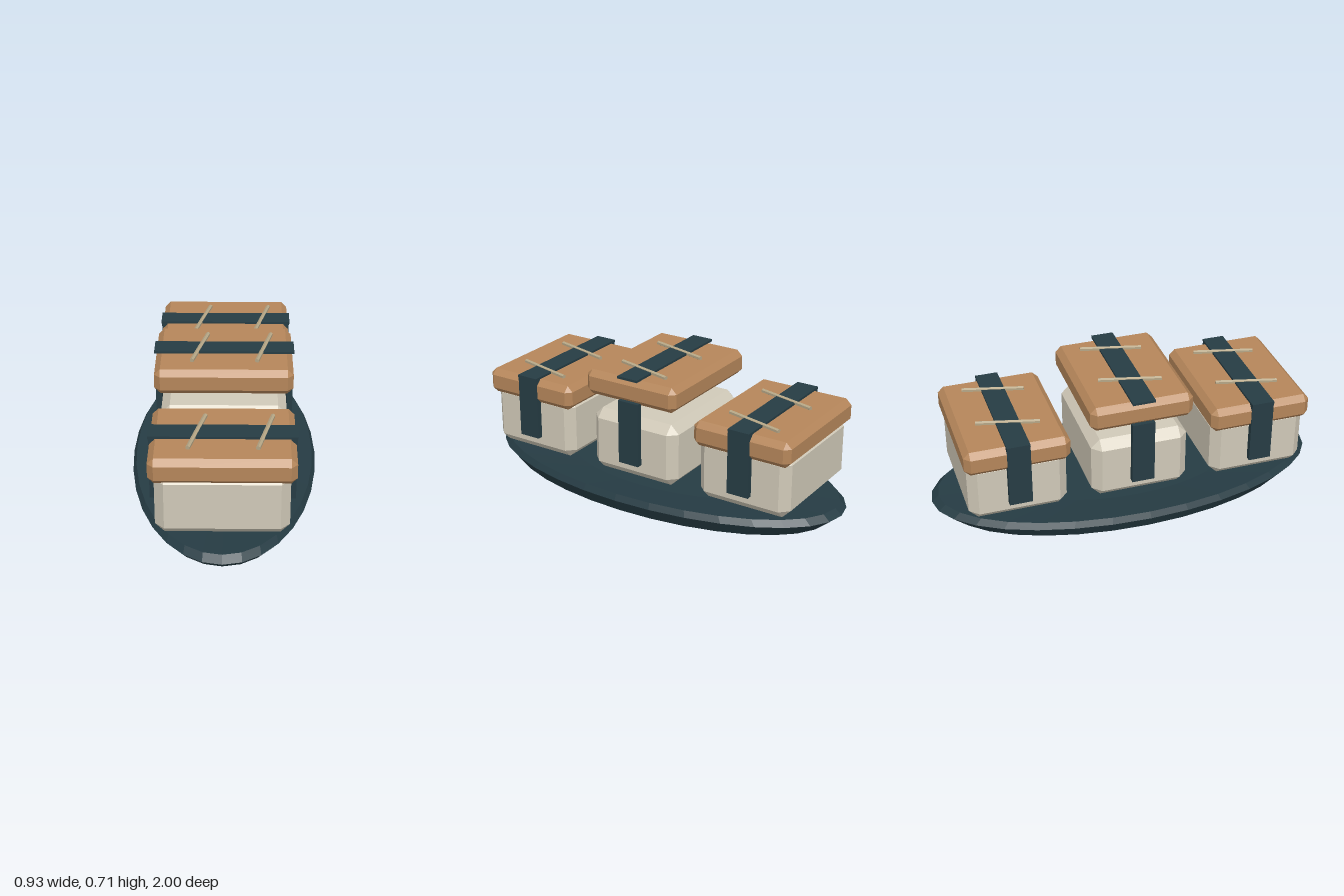
import * as THREE from 'three';
import { ConvexGeometry } from 'three/addons/geometries/ConvexGeometry.js';

const material = (name, color, flatShading = true) => {
  const m = new THREE.MeshStandardMaterial({ color });
  m.name = name;
  m.flatShading = flatShading;
  return m;
};

// Box with every edge and corner cut by c, given half sizes
function chamferBox(hx, hy, hz, c) {
  const points = [];
  for (const x of [-1, 1]) for (const y of [-1, 1]) for (const z of [-1, 1]) {
    points.push(
      new THREE.Vector3(x * hx, y * (hy - c), z * (hz - c)),
      new THREE.Vector3(x * (hx - c), y * hy, z * (hz - c)),
      new THREE.Vector3(x * (hx - c), y * (hy - c), z * hz));
  }
  return new ConvexGeometry(points);
}

export function createModel() {
  const model = new THREE.Group();
  const slate = material('dark slate', 0x263c44);
  const wood = material('warm wood', 0xb5865a);
  const cream = material('cream', 0xd0c9b8);
  const bamboo = material('pale bamboo', 0xb5a686);

  const add = (parent, name, geometry, mat, x, y, z) => {
    const mesh = new THREE.Mesh(geometry, mat);
    mesh.name = name;
    mesh.position.set(x, y, z);
    parent.add(mesh);
    return mesh;
  };

  // Oval tray with a shallow dished top
  const profile = [[0, 0], [0.6, 0], [0.92, 0.031], [1, 0.098], [0.965, 0.128], [0.55, 0.1], [0, 0.1]]
    .map(([r, y]) => new THREE.Vector2(r, y));
  const tray = add(model, 'tray', new THREE.LatheGeometry(profile, 32), slate, 0, 0, 0);
  tray.scale.x = 0.466;

  const boxGeo = chamferBox(0.31, 0.1615, 0.245, 0.044);
  const lidGeo = chamferBox(0.337, 0.064, 0.259, 0.029);
  const topStrapGeo = new THREE.BoxGeometry(0.69, 0.012, 0.114);
  const sideStrapGeo = new THREE.BoxGeometry(0.029, 0.33, 0.114);
  const stickGeo = new THREE.CylinderGeometry(0.011, 0.011, 0.31, 6).rotateX(Math.PI / 2);

  // Three lidded boxes; the middle lid is raised
  [['front', 0.617, 0], ['middle', 0, 0.127], ['back', -0.617, 0]].forEach(([label, z, lift]) => {
    const set = new THREE.Group();
    set.name = `${label}Box`;
    set.position.z = z;
    model.add(set);

    add(set, 'box', boxGeo, cream, 0, 0.3165, 0);
    add(set, 'lid', lidGeo, wood, 0, 0.498 + lift, 0);
    add(set, 'topStrap', topStrapGeo, slate, 0, 0.567 + lift, 0);
    for (const side of [-1, 1]) add(set, 'sideStrap', sideStrapGeo, slate, side * 0.327, 0.408, 0);

    // Pair of slanted sticks on the strap
    for (const x of [-0.12, 0.197]) {
      add(set, 'stick', stickGeo, bamboo, x, 0.57 + lift, 0).rotation.y = -0.24;
    }
  });

  return model;
}
